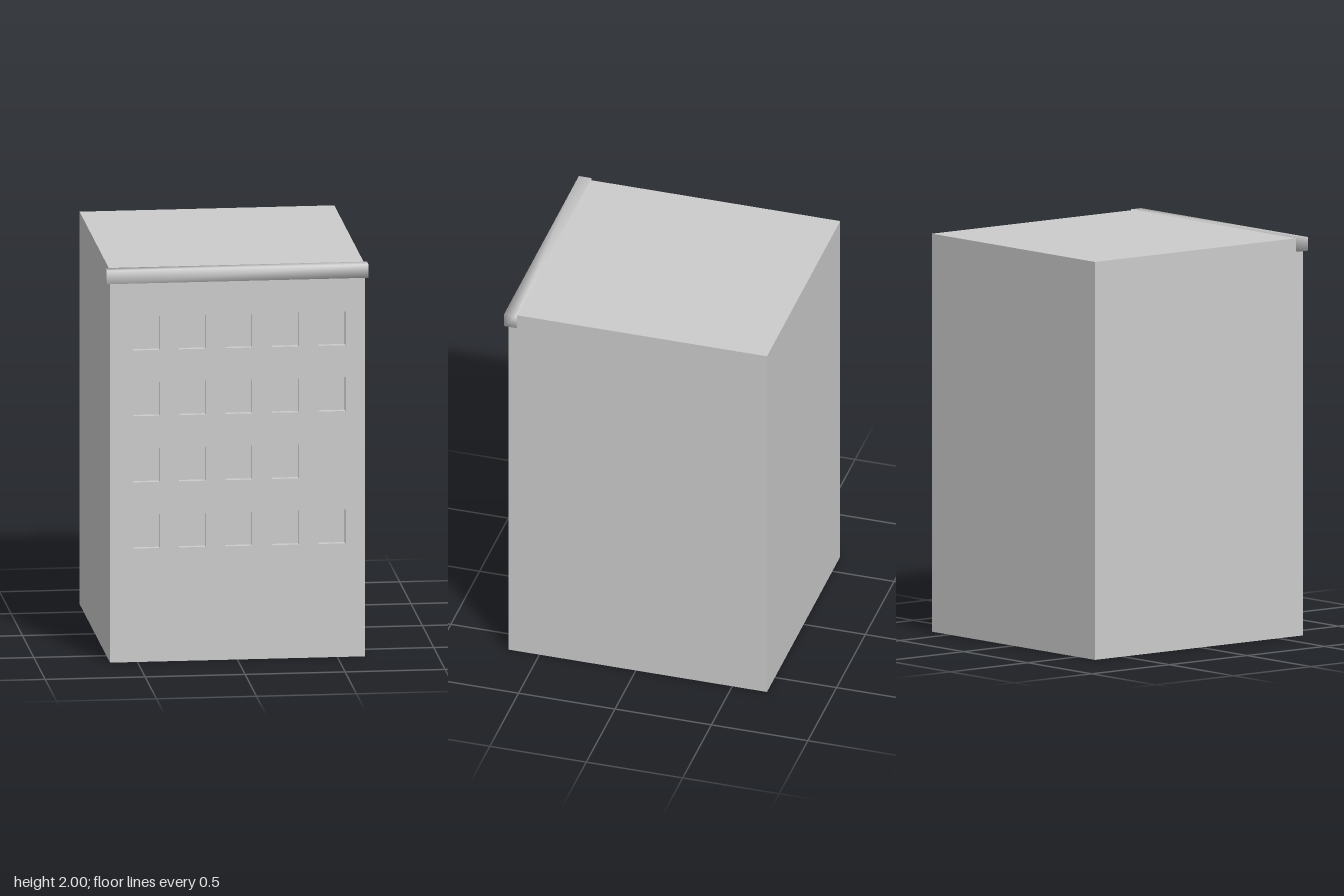
import * as THREE from 'three';
import { mergeVertices } from 'three/addons/utils/BufferGeometryUtils.js';

const W = 1.274, TOP = 1.998, BACK = -0.68, FRONT = 0.66;
const WIN_W = 0.133, WIN_H = 0.172, RECESS = 0.03;
const COLUMNS = [-0.456, -0.226, 0.007, 0.239, 0.473];
const ROWS = [0.664, 1.001, 1.338, 1.673];

// Box without the listed faces (0 +x, 1 -x, 2 +y, 3 -y, 4 +z, 5 -z)
function openBox(w, h, d, removed, inward = false) {
  const box = new THREE.BoxGeometry(w, h, d);
  const index = Array.from(box.index.array).filter((_, i) => !removed.includes(Math.floor(i / 6)));
  if (inward) index.reverse();
  box.setIndex(index);
  box.clearGroups();
  box.computeVertexNormals();
  return box;
}

export function createModel() {
  const model = new THREE.Group();
  model.name = 'apartmentBuilding';
  const concrete = new THREE.MeshStandardMaterial({ color: 0xcccccc, side: THREE.DoubleSide });
  concrete.name = 'concrete grey';

  const add = (name, geometry, x, y, z) => {
    const mesh = new THREE.Mesh(geometry, concrete);
    mesh.name = name;
    mesh.position.set(x, y, z);
    model.add(mesh);
  };

  // Side walls, back wall and roof, open underneath
  const depth = FRONT - BACK;
  add('wallsAndRoof', openBox(W, TOP, depth, [3, 4]), 0, TOP / 2, (FRONT + BACK) / 2);

  // Front wall pierced by the windows; one opening is left out
  const wall = new THREE.Shape();
  wall.moveTo(-W / 2, 0).lineTo(W / 2, 0).lineTo(W / 2, TOP).lineTo(-W / 2, TOP).closePath();
  const recess = openBox(WIN_W, WIN_H, RECESS, [4], true);
  ROWS.forEach((y, row) => COLUMNS.forEach((x, column) => {
    if (row === 1 && column === 4) return;
    const l = x - WIN_W / 2, r = x + WIN_W / 2, b = y - WIN_H / 2, t = y + WIN_H / 2;
    const hole = new THREE.Path();
    hole.moveTo(l, b).lineTo(l, t).lineTo(r, t).lineTo(r, b).closePath();
    wall.holes.push(hole);
    add('windowRecess', recess, x, y, FRONT - RECESS / 2);
  }));
  add('frontWall', new THREE.ShapeGeometry(wall), 0, 0, FRONT);

  // Cornice with softly shaded edges
  let cornice = new THREE.BoxGeometry(1.306, 0.068, 0.065);
  cornice.deleteAttribute('normal');
  cornice.deleteAttribute('uv');
  cornice = mergeVertices(cornice);
  cornice.computeVertexNormals();
  add('cornice', cornice, 0, 1.966, 0.6475);

  return model;
}
